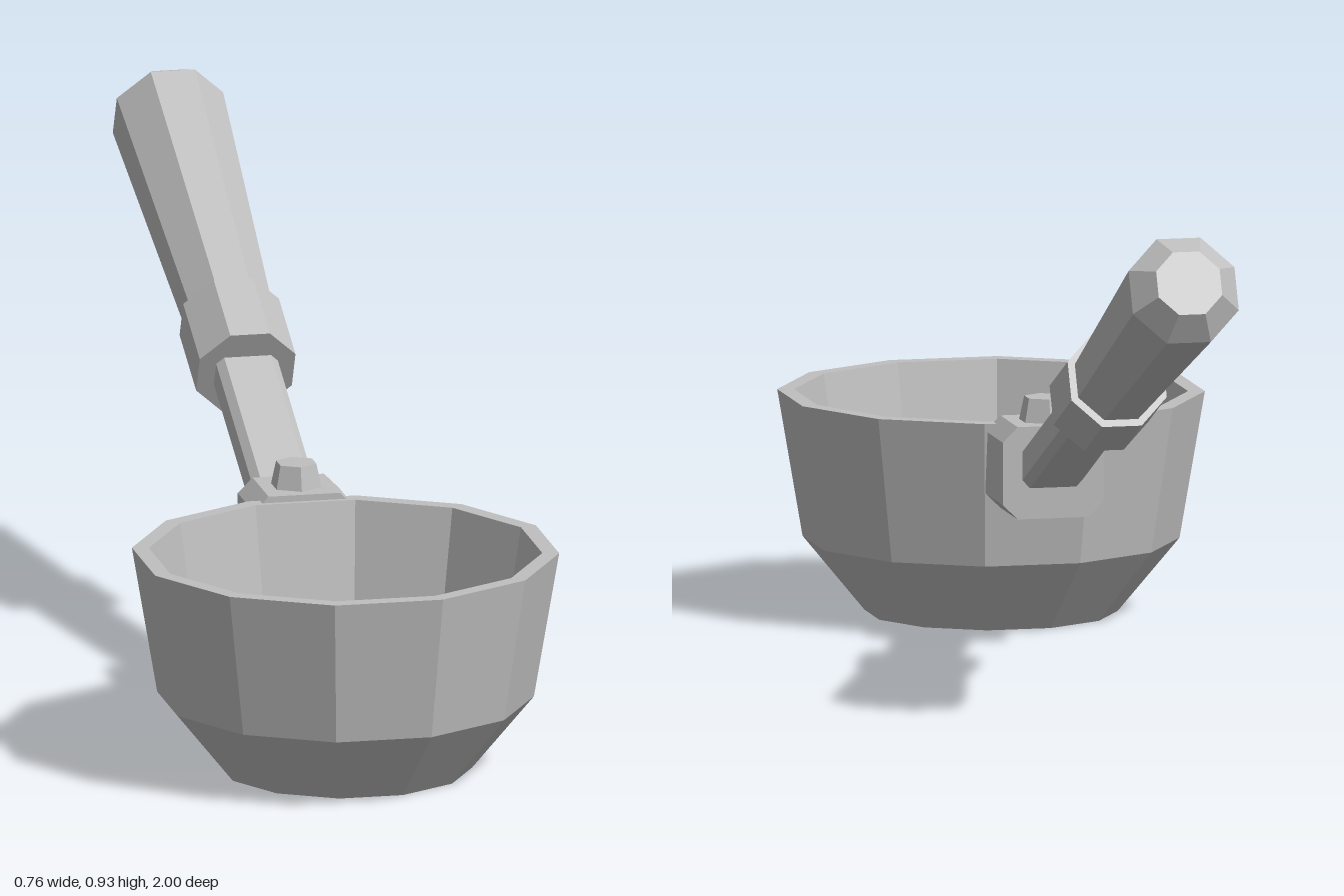
import * as THREE from 'three';

const steel = new THREE.MeshStandardMaterial({ color: 0xbfbfbf, flatShading: true });
steel.name = 'grey metal';

function part(name, geometry, parent) {
  const mesh = new THREE.Mesh(geometry, steel);
  mesh.name = name;
  parent.add(mesh);
  return mesh;
}

// Faceted solid of revolution; profile gives [distance to flat face, height]
function faceted(profile, sides) {
  const k = 1 / Math.cos(Math.PI / sides);
  const points = profile.map(([r, y]) => new THREE.Vector2(r * k, y));
  return new THREE.LatheGeometry(points, sides, Math.PI / sides);
}

// Bar along z with a rectangular section whose four corners are chamfered
function chamferedBar(w, h, c, depth) {
  const x = w / 2, y = h / 2;
  const shape = new THREE.Shape([
    [x, -y + c], [x, y - c], [x - c, y], [-x + c, y],
    [-x, y - c], [-x, -y + c], [-x + c, -y], [x - c, -y],
  ].map(([a, b]) => new THREE.Vector2(a, b)));
  return new THREE.ExtrudeGeometry(shape, { depth, bevelEnabled: false });
}

export function createModel() {
  const model = new THREE.Group();
  model.name = 'ladle';

  // Twelve-sided open bowl: outside, rim, then inside
  part('bowl', faceted([
    [0, 0], [0.225, 0], [0.335, 0.137], [0.38, 0.41],
    [0.35, 0.41], [0.308, 0.15], [0.203, 0.03], [0, 0.03],
  ], 12), model).position.z = 0.62;

  // Mounting block and its hexagonal bolt
  part('mountBlock', chamferedBar(0.19, 0.172, 0.028, 0.14), model).position.set(0, 0.336, 0.12);
  part('bolt', new THREE.CylinderGeometry(0.039, 0.05, 0.05, 6), model).position.set(0, 0.441, 0.19);

  // Handle assembly, built along its own y axis and tilted back and up
  const handle = new THREE.Group();
  handle.name = 'handle';
  handle.position.set(0, 0.347, 0.125);
  handle.rotation.x = -THREE.MathUtils.degToRad(65);
  model.add(handle);

  const shaft = chamferedBar(0.116, 0.076, 0.014, 0.5).rotateX(-Math.PI / 2);
  part('shaft', shaft, handle).position.y = -0.05;
  part('collar', faceted([[0, 0.414], [0.09, 0.414], [0.09, 0.574], [0, 0.574]], 8), handle);
  part('grip', faceted([[0, 0.55], [0.076, 0.55], [0.1, 1.164], [0.06, 1.213], [0, 1.213]], 8), handle);

  return model;
}
